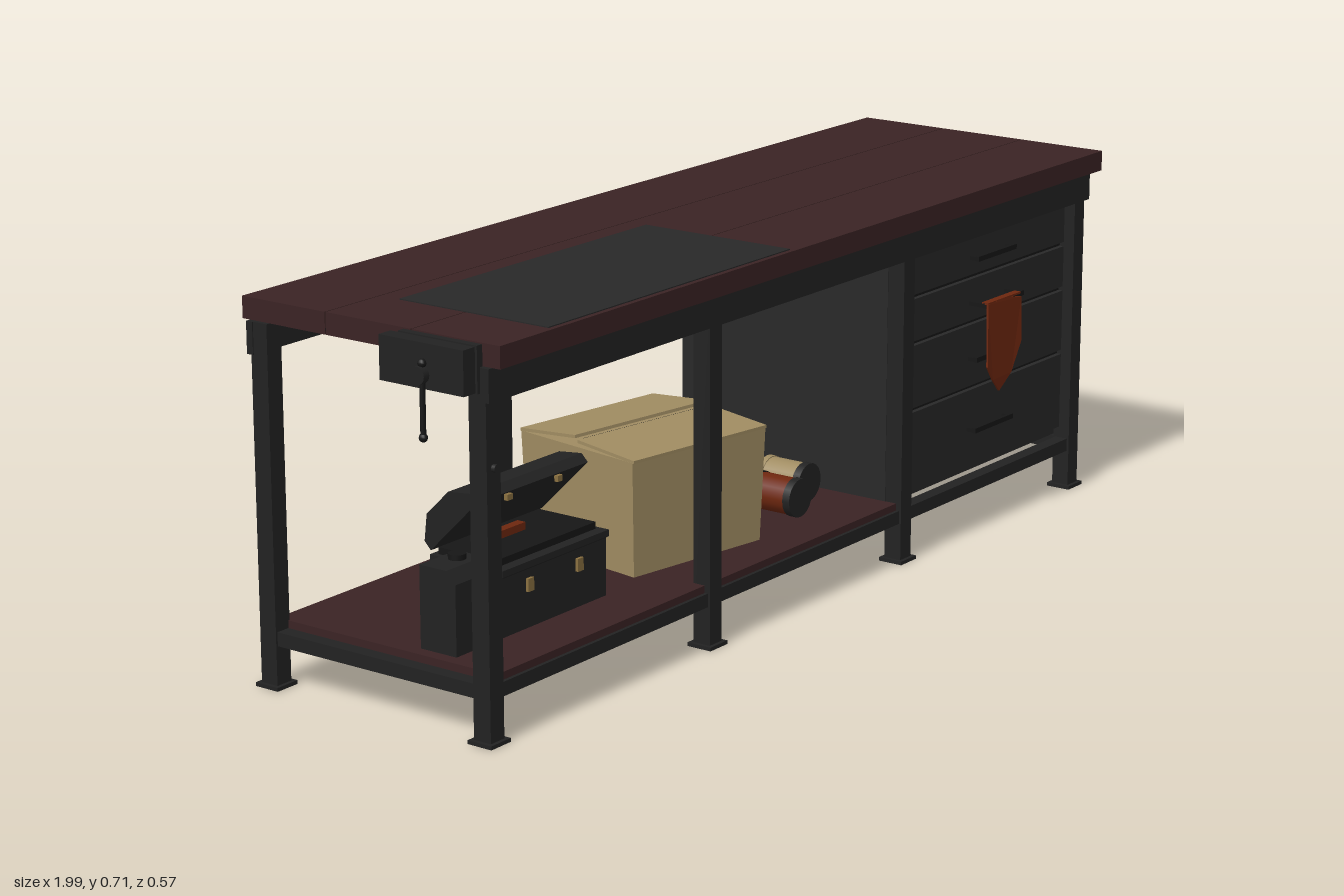
import * as THREE from 'three';

const mat = (name, color) => {
  const m = new THREE.MeshStandardMaterial({ color });
  m.name = name;
  return m;
};

export function createModel() {
  const root = new THREE.Group();
  root.name = 'workbench';
  const frame = mat('dark steel', 0x222222);
  const panel = mat('panel grey', 0x282828);
  const black = mat('black', 0x161616);
  const wood = mat('dark red wood', 0x3a2324);
  const card = mat('cardboard', 0xa08c62);
  const cloth = mat('rust cloth', 0x6e270f);
  const brass = mat('brass', 0x8a7040);
  cloth.side = THREE.DoubleSide;

  const add = (name, geo, m, parent = root) => {
    const mesh = new THREE.Mesh(geo, m);
    mesh.name = name;
    parent.add(mesh);
    return mesh;
  };
  // box given by its limits on each axis
  const box = (name, m, x0, x1, y0, y1, z0, z1, parent = root) => {
    const b = add(name, new THREE.BoxGeometry(x1 - x0, y1 - y0, z1 - z0), m, parent);
    b.position.set((x0 + x1) / 2, (y0 + y1) / 2, (z0 + z1) / 2);
    return b;
  };
  const cyl = (name, m, r, len, axis, x, y, z, parent = root, seg = 20) => {
    const g = new THREE.CylinderGeometry(r, r, len, seg);
    if (axis === 'x') g.rotateZ(Math.PI / 2);
    if (axis === 'z') g.rotateX(Math.PI / 2);
    const c = add(name, g, m, parent);
    c.position.set(x, y, z);
    return c;
  };
  // (z, y) profile swept along x, centred
  const sweepX = (pts, len) => {
    const s = new THREE.Shape(pts.map(([z, y]) => new THREE.Vector2(-z, y)));
    const g = new THREE.ExtrudeGeometry(s, { depth: len, bevelEnabled: false });
    return g.translate(0, 0, -len / 2).rotateY(Math.PI / 2);
  };

  // table top: three planks and a work mat
  [-0.192, 0, 0.192].forEach(z => box('topPlank', wood, -0.93, 0.995, 0.665, 0.705, z - 0.095, z + 0.095));
  box('topSeam', black, -0.928, 0.993, 0.667, 0.7, -0.1, 0.1);
  box('workMat', panel, -0.79, -0.09, 0.705, 0.707, -0.05, 0.277);

  // legs, feet, rails
  const legX = [-0.92, -0.295, 0.33, 0.955];
  for (const x of legX) {
    for (const s of [-1, 1]) {
      const z = s * 0.243;
      box('leg', frame, x - 0.018, x + 0.018, 0, 0.665, z - 0.0185, z + 0.0185);
      box('foot', frame, x - 0.026, x + 0.026, 0, 0.007, z - 0.026, z + 0.026);
    }
    box('crossRail', frame, x - 0.014, x + 0.014, 0.08, 0.106, -0.226, 0.226);
  }
  for (const s of [-1, 1]) {
    box('lowerRail', frame, -0.92, 0.955, 0.08, 0.106, s * 0.243 - 0.014, s * 0.243 + 0.014);
    box('apron', frame, -0.94, 0.978, 0.606, 0.665, s * 0.263 - 0.007, s * 0.263 + 0.007);
  }
  box('lowerShelf', wood, -0.905, 0.312, 0.103, 0.12, -0.25, 0.25);
  cyl('legKnob', frame, 0.007, 0.014, 'z', -0.92, 0.49, 0.262);

  // drawer cabinet
  const cabinet = new THREE.Group();
  cabinet.name = 'cabinet';
  root.add(cabinet);
  box('cabinetBody', panel, 0.311, 0.975, 0.112, 0.605, -0.264, 0.225, cabinet);
  box('cabinetFace', black, 0.35, 0.938, 0.127, 0.603, 0.224, 0.228, cabinet);
  [[0.52, 0.601, 0.555], [0.427, 0.511, 0.463], [0.293, 0.418, 0.35], [0.129, 0.284, 0.205]].forEach(([y0, y1, hy], i) => {
    box('drawerFront', panel, 0.352, 0.936, y0, y1, 0.226, 0.238, cabinet);
    const out = i === 1 ? 0.278 : 0.259;
    box('drawerHandle', black, 0.58, 0.72, hy - 0.005, hy + 0.005, out - 0.008, out, cabinet);
    for (const x of [0.585, 0.715]) box('handlePost', black, x - 0.005, x + 0.005, hy - 0.004, hy + 0.004, 0.236, out - 0.004, cabinet);
  });

  // rag hung over a handle, gently curved
  const rag = new THREE.Shape([[0.58, 0.467], [0.578, 0.34], [0.6, 0.31], [0.627, 0.282], [0.668, 0.312], [0.7, 0.37], [0.702, 0.46], [0.64, 0.47]]
    .map(p => new THREE.Vector2(...p)));
  const ragGeo = new THREE.ExtrudeGeometry(rag, { depth: 0.004, bevelEnabled: false });
  const rp = ragGeo.attributes.position;
  for (let i = 0; i < rp.count; i++) {
    const t = (0.47 - rp.getY(i)) / 0.19;
    rp.setZ(i, rp.getZ(i) + 0.279 + 0.004 * Math.sin(t * Math.PI));
  }
  ragGeo.computeVertexNormals();
  add('rag', ragGeo, cloth);
  box('ragFold', cloth, 0.58, 0.7, 0.466, 0.47, 0.268, 0.283);

  // bench vise on the left end
  const vise = new THREE.Group();
  vise.name = 'vise';
  root.add(vise);
  box('viseMount', frame, -0.93, -0.8, 0.613, 0.665, 0.076, 0.256, vise);
  box('viseInnerJaw', frame, -0.945, -0.931, 0.62, 0.703, 0.08, 0.25, vise);
  box('viseOuterJaw', frame, -0.985, -0.955, 0.625, 0.704, 0.072, 0.254, vise);
  for (const z of [0.11, 0.165, 0.22]) cyl('viseRod', black, 0.01, 0.1, 'x', -0.93, 0.65, z, vise);
  cyl('viseScrewHead', frame, 0.016, 0.018, 'x', -0.99, 0.65, 0.165, vise);
  cyl('viseHandle', black, 0.005, 0.13, 'y', -0.988, 0.605, 0.168, vise, 10);
  for (const y of [0.542, 0.67]) add('handleEnd', new THREE.SphereGeometry(0.008, 10, 8), black, vise).position.set(-0.988, y, 0.168);

  // canister with a sloped top and cap
  const can = new THREE.Group();
  can.name = 'canister';
  can.position.set(-0.83, 0.12, 0.1);
  root.add(can);
  add('canisterBody', sweepX([[-0.04, 0], [0.04, 0], [0.04, 0.13], [0.02, 0.152], [-0.04, 0.152]], 0.1), frame, can);
  cyl('canisterCap', black, 0.016, 0.014, 'y', 0.015, 0.155, -0.01, can);

  // open toolbox
  const tools = new THREE.Group();
  tools.name = 'toolbox';
  tools.position.set(-0.612, 0.12, 0.065);
  root.add(tools);
  add('toolboxBody', sweepX([[-0.075, 0], [0.075, 0], [0.075, 0.108], [0.082, 0.113], [0.082, 0.125], [-0.082, 0.125], [-0.082, 0.113], [-0.075, 0.108]], 0.3), frame, tools);
  box('toolboxTray', black, -0.14, 0.14, 0.125, 0.138, -0.07, 0.06, tools);
  box('toolGrip', cloth, -0.09, 0.03, 0.138, 0.152, -0.03, -0.012, tools);
  const lid = add('toolboxLid', sweepX([[0, 0], [0.15, 0], [0.15, 0.02], [0.11, 0.052], [0.04, 0.052], [0, 0.02]], 0.31), frame, tools);
  lid.position.set(0, 0.135, -0.075);
  lid.rotation.x = -0.78;
  cyl('toolboxHandle', black, 0.007, 0.16, 'x', 0, 0.2, -0.062, tools, 10);
  for (const x of [-0.07, 0.07]) {
    box('toolboxLatch', brass, x - 0.008, x + 0.008, 0.068, 0.092, 0.075, 0.081, tools);
    box('lidLatch', brass, x - 0.007, x + 0.007, 0.226, 0.237, 0.028, 0.036, tools);
  }

  // cardboard box: turned a little, wider at the top, two flaps
  const carton = new THREE.Group();
  carton.name = 'carton';
  carton.position.set(-0.172, 0.121, 0.005);
  carton.rotation.y = -0.16;
  root.add(carton);
  const cg = new THREE.BoxGeometry(0.325, 0.22, 0.3);
  const cp = cg.attributes.position;
  for (let i = 0; i < cp.count; i++) {
    if (cp.getY(i) > 0) cp.setX(i, cp.getX(i) * 1.05);
    else cp.setZ(i, cp.getZ(i) * 0.96);
  }
  cg.computeVertexNormals();
  add('cartonBody', cg, card, carton).position.y = 0.11;
  for (const s of [-1, 1]) {
    const flap = add('cartonFlap', new THREE.BoxGeometry(0.34, 0.006, 0.15), card, carton);
    flap.position.set(0, s > 0 ? 0.226 : 0.23, s * 0.078);
    flap.rotation.x = s * (s > 0 ? 0.06 : 0.11);
  }
  box('cartonGap', black, -0.15, 0.15, 0.22, 0.231, -0.004, 0.006, carton);

  // two rolls lying on the shelf
  [[0.13, 0.1, cloth, black], [0.225, 0.055, card, card]].forEach(([x, z, side, back]) => {
    cyl('rollBody', side, 0.036, 0.08, 'z', x, 0.158, z);
    cyl('rollFront', frame, 0.038, 0.016, 'z', x, 0.158, z + 0.043);
    cyl('rollBack', back, 0.038, 0.012, 'z', x, 0.158, z - 0.043);
  });
  return root;
}
